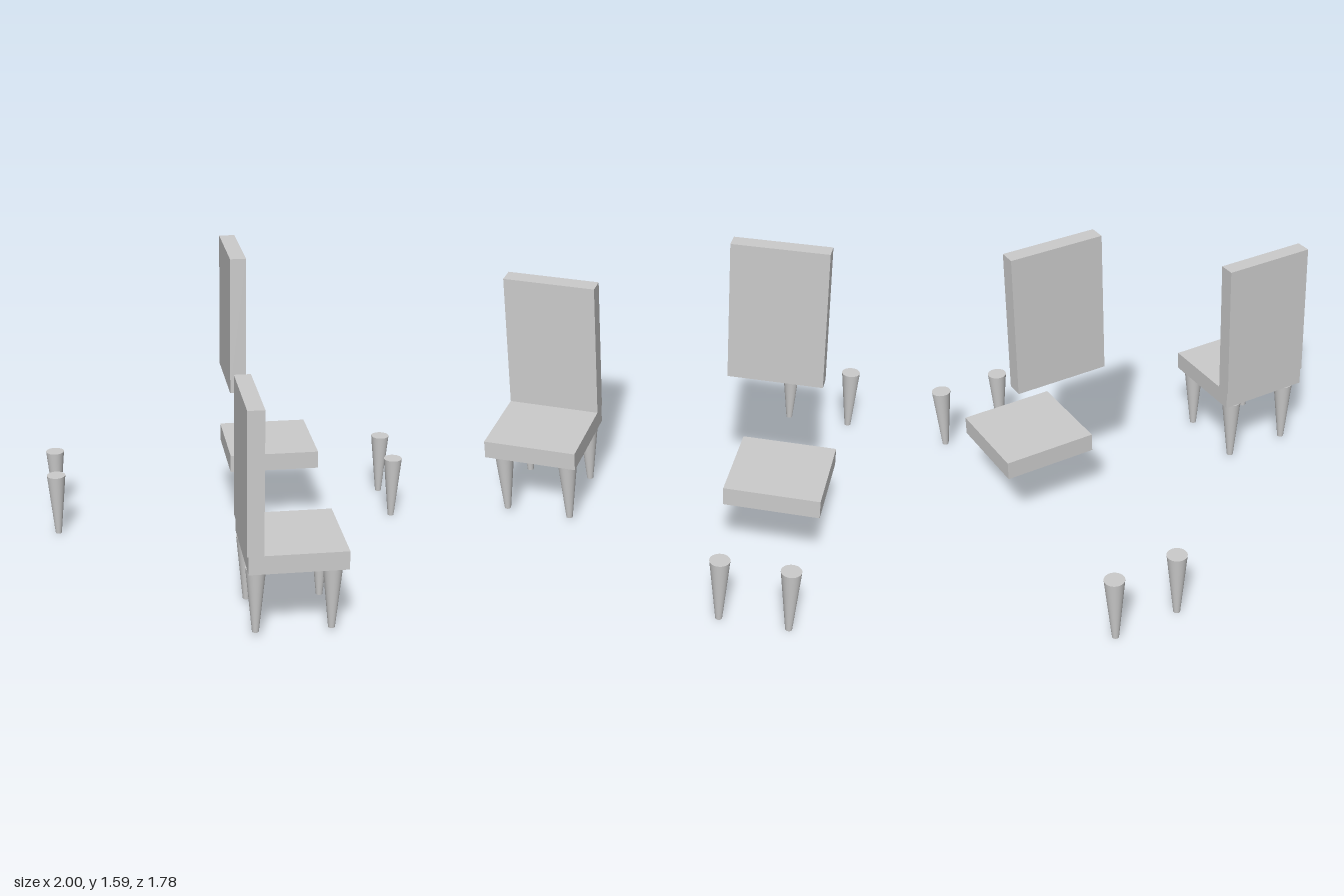
import * as THREE from 'three';

const LEG_H = 0.35;

export function createModel() {
  const model = new THREE.Group();
  const material = new THREE.MeshStandardMaterial({ color: 0xcccccc });
  const seatGeo = new THREE.BoxGeometry(0.49, 0.097, 0.49);
  const backGeo = new THREE.BoxGeometry(0.084, 0.743, 0.49);
  const legGeo = new THREE.CylinderGeometry(0.051, 0.017, LEG_H, 32);

  const add = (parent, name, geometry, x, y, z) => {
    const mesh = new THREE.Mesh(geometry, material);
    mesh.name = name;
    mesh.position.set(x, y, z);
    parent.add(mesh);
  };

  // Assembled chair, facing +x
  const chair = new THREE.Group();
  chair.name = 'assembledChair';
  add(chair, 'seat', seatGeo, 0.184, 0.424, 0.643);
  add(chair, 'backrest', backGeo, -0.028, 0.843, 0.643);
  for (const x of [-0.016, 0.362])
    for (const z of [0.46, 0.806])
      add(chair, x > 0 ? 'frontLeg' : 'backLeg', legGeo, x, 0.025 + LEG_H / 2, z);
  model.add(chair);

  // Same parts laid out separately
  const parts = new THREE.Group();
  parts.name = 'separatedParts';
  add(parts, 'looseSeat', seatGeo, 0.257, 0.401, -0.645);
  add(parts, 'looseBackrest', backGeo, 0.043, 1.22, -0.567);
  for (const x of [-0.949, 0.949])
    for (const z of [-0.485, -0.831])
      add(parts, 'looseLeg', legGeo, x, LEG_H / 2, z);
  model.add(parts);

  return model;
}
